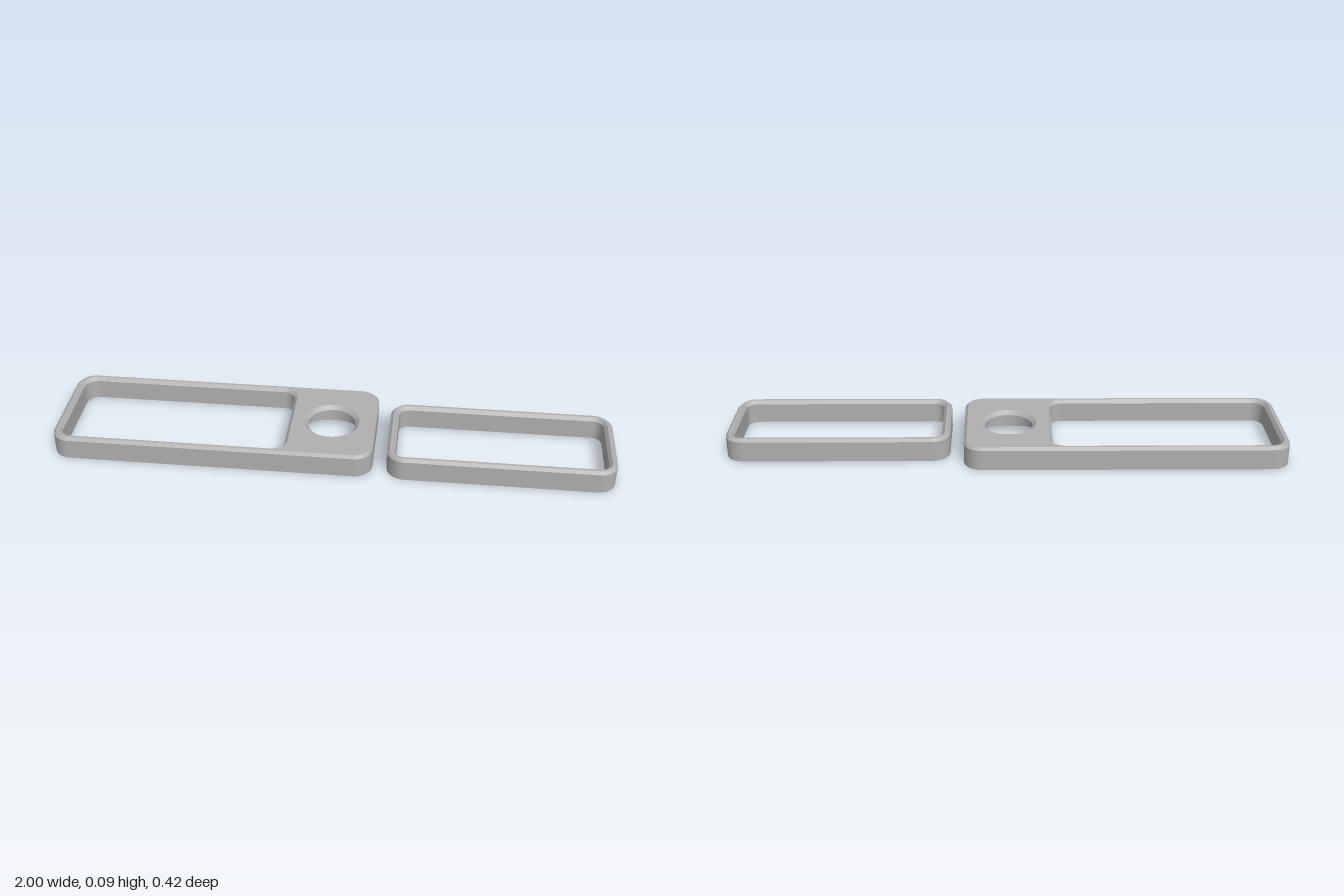
import * as THREE from 'three';
import { mergeGeometries } from 'three/addons/utils/BufferGeometryUtils.js';

const H = 0.085;      // plate height
const BEVEL = 0.01;   // top edge bevel
const RIM = 0.03;     // frame wall width

// Rounded rectangle outline in x/z, listed from +x towards +z
function roundRect(x0, x1, z0, z1, r, inset = 0, steps = 8) {
  const pts = [];
  const rr = r - inset;
  const corners = [[x1 - r, z1 - r], [x0 + r, z1 - r], [x0 + r, z0 + r], [x1 - r, z0 + r]];
  corners.forEach(([cx, cz], k) => {
    for (let i = 0; i <= steps; i++) {
      const a = (k + i / steps) * Math.PI / 2;
      pts.push(new THREE.Vector2(cx + rr * Math.cos(a), cz + rr * Math.sin(a)));
    }
  });
  return pts;
}

function circle(cx, cz, r, n = 48) {
  return Array.from({ length: n }, (_, i) => {
    const a = i / n * Math.PI * 2;
    return new THREE.Vector2(cx + r * Math.cos(a), cz + r * Math.sin(a));
  });
}

// Skin consecutive closed sections [outline, height]; each band keeps its own normals
function loft(sections) {
  const bands = [];
  for (let s = 0; s < sections.length - 1; s++) {
    const pos = [], index = [];
    const n = sections[s][0].length;
    for (const [pts, y] of [sections[s], sections[s + 1]]) {
      for (const p of pts) pos.push(p.x, typeof y === 'function' ? y(p.y) : y, p.y);
    }
    for (let i = 0; i < n; i++) {
      const j = (i + 1) % n;
      index.push(i, n + i, j, j, n + i, n + j);
    }
    const g = new THREE.BufferGeometry();
    g.setAttribute('position', new THREE.Float32BufferAttribute(pos, 3));
    g.setIndex(index);
    g.computeVertexNormals();
    bands.push(g);
  }
  return mergeGeometries(bands);
}

// Flat (or height-ruled) sheet with holes, facing up or down
function sheet(outline, holes, height, up) {
  const shape = new THREE.Shape(outline);
  shape.holes = holes.map(h => new THREE.Path(h));
  const g = new THREE.ShapeGeometry(shape);
  g.rotateX(Math.PI / 2);
  const p = g.attributes.position;
  for (let i = 0; i < p.count; i++) p.setY(i, height(p.getZ(i)));
  if (up) g.setIndex(Array.from(g.index.array).reverse());
  g.computeVertexNormals();
  return g;
}

export function createModel() {
  const model = new THREE.Group();
  const grey = new THREE.MeshStandardMaterial({ color: 0xb0b0b0, side: THREE.DoubleSide });
  grey.name = 'plain grey';
  const add = (name, geometry, parent) => {
    const mesh = new THREE.Mesh(geometry, grey);
    mesh.name = name;
    parent.add(mesh);
  };

  // Small open frame: one closed loft around its wall
  const s = [0.2, 1, -0.14, 0.21, 0.065];
  const smallBase = roundRect(...s);
  const smallHole = roundRect(...s, RIM);
  add('smallFrame', loft([
    [smallBase, 0], [smallBase, H - BEVEL], [roundRect(...s, BEVEL), H],
    [roundRect(...s, RIM - 0.011), H], [smallHole, H - 0.012], [smallHole, 0], [smallBase, 0],
  ]), model);

  // Large plate with a window and a round eyelet
  const plate = new THREE.Group();
  plate.name = 'largePlate';
  model.add(plate);
  const b = [-1, 0.15, -0.21, 0.21, 0.065];
  const base = roundRect(...b);
  const topEdge = roundRect(...b, BEVEL);
  add('plateOuterWall', loft([[base, 0], [base, H - BEVEL], [topEdge, H]]), plate);

  const w = [-0.981, -0.154, -0.191, 0.191, 0.056];
  const windowTop = roundRect(...w);
  const windowHole = roundRect(...w, 0.011);
  add('windowWall', loft([[windowTop, H], [windowHole, H - 0.012], [windowHole, 0]]), plate);

  // Hidden pocket under the eyelet with a gable-shaped ceiling
  const cx = -0.01, r = 0.086;
  const px0 = -0.12, px1 = 0.1, pz = 0.155, peak = 0.06;
  const ceiling = z => peak * (1 - Math.abs(z) / pz);
  const rimCircle = circle(cx, 0, 0.1), bore = circle(cx, 0, r);
  add('eyeletWall', loft([[rimCircle, H], [bore, H - 0.014], [bore, ceiling]]), plate);

  const V = (x, z) => new THREE.Vector2(x, z);
  for (const side of [1, -1]) {
    const half = [V(px0, 0), V(px0, side * pz), V(px1, side * pz), V(px1, 0)];
    for (let i = 0; i <= 24; i++) {
      const a = i / 24 * Math.PI;
      half.push(V(cx + r * Math.cos(a), side * r * Math.sin(a)));
    }
    add('pocketSlope', sheet(half, [], ceiling, false), plate);
  }
  for (const [x, turn] of [[px0, 1], [px1, -1]]) {
    const gable = new THREE.ShapeGeometry(new THREE.Shape([V(-pz, 0), V(pz, 0), V(0, peak)]));
    gable.rotateY(turn * Math.PI / 2);
    gable.translate(x, 0, 0);
    add('pocketEndWall', gable, plate);
  }

  // Top and bottom faces
  add('plateTop', sheet(topEdge, [windowTop, rimCircle], () => H, true), plate);
  const pocket = [V(px0, -pz), V(px1, -pz), V(px1, pz), V(px0, pz)];
  add('plateBottom', sheet(base, [windowHole, pocket], () => 0, false), plate);

  return model;
}
